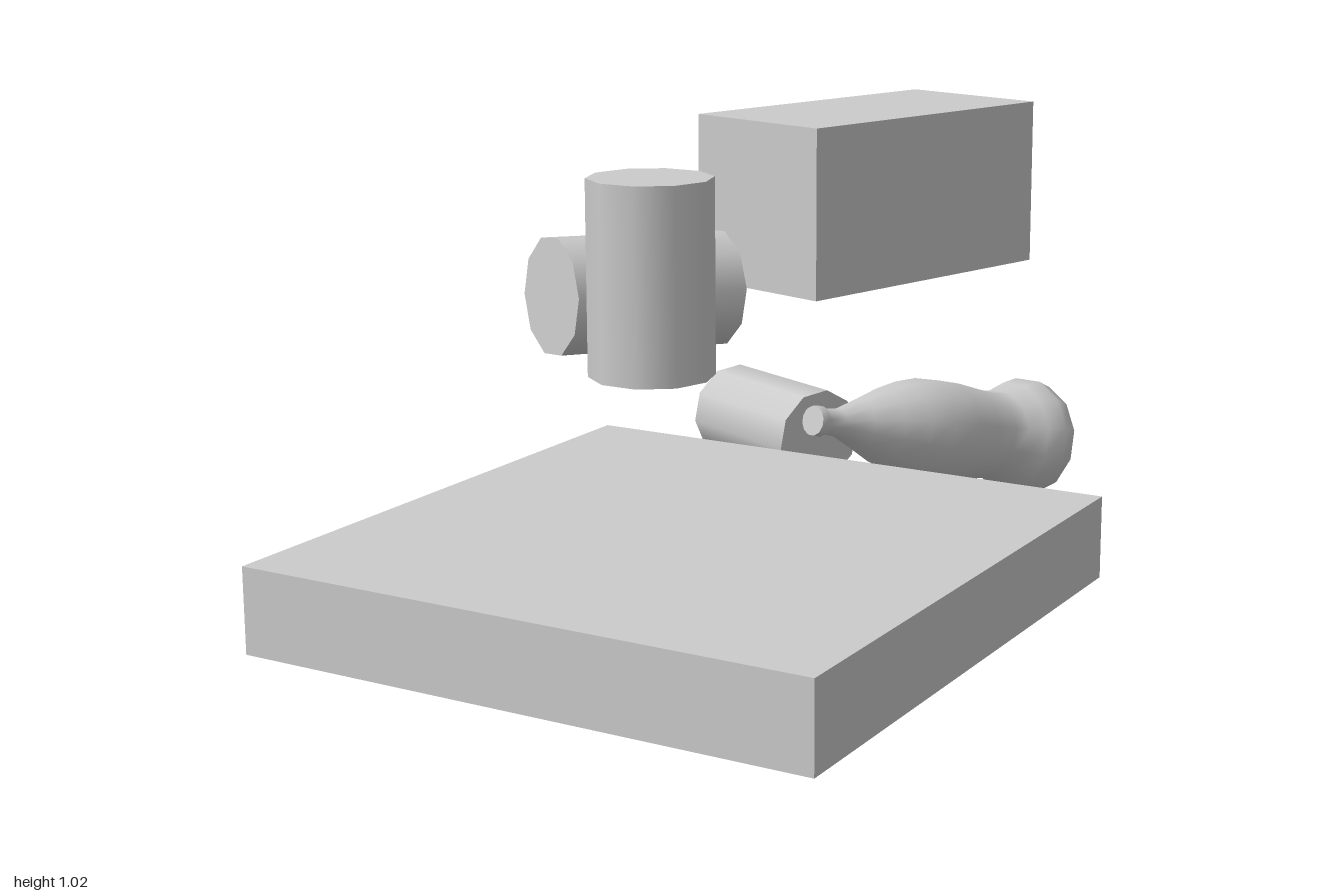
import * as THREE from 'three';

const material = new THREE.MeshStandardMaterial({ color: 0xcccccc });

function part(parent, name, geometry) {
  const mesh = new THREE.Mesh(geometry, material);
  mesh.name = name;
  parent.add(mesh);
  return mesh;
}

// Turns an object's local y axis to run from one point towards another
function aim(object, from, to) {
  object.quaternion.setFromUnitVectors(new THREE.Vector3(0, 1, 0), to.clone().sub(from).normalize());
}

// Ten-sided can between two end centres
function can(parent, name, a, b) {
  const from = new THREE.Vector3(...a), to = new THREE.Vector3(...b);
  const geometry = new THREE.CylinderGeometry(0.122, 0.122, from.distanceTo(to), 10, 1, false, Math.PI / 10);
  const mesh = part(parent, name, geometry);
  mesh.position.copy(from).lerp(to, 0.5);
  aim(mesh, from, to);
}

export function createModel() {
  const model = new THREE.Group();
  model.name = 'scatteredProps';

  // Low slab
  part(model, 'slab', new THREE.BoxGeometry(1.33, 0.19, 1.355)).position.set(0, 0.095, 0.322);

  // Raised block, turned about the vertical
  const block = part(model, 'block', new THREE.BoxGeometry(0.385, 0.39, 0.753));
  block.position.set(-0.022, 0.815, -0.53);
  block.rotation.y = -0.276;

  // Three cans: upright, tilted, lying
  can(model, 'uprightCan', [0.194, 0.645, 0.785], [0.194, 1.025, 0.785]);
  can(model, 'tiltedCan', [-0.105, 0.752, 0.685], [0.08, 0.734, 0.353]);
  can(model, 'lyingCan', [-0.568, 0.145, -0.812], [-0.222, 0.147, -0.657]);

  // Bottle with pinched waist: [distance from mouth, radius], base to mouth
  const bottle = new THREE.Group();
  bottle.name = 'bottle';
  const profile = [
    [0.835, 0], [0.82, 0.1], [0.785, 0.14], [0.74, 0.151], [0.69, 0.136], [0.645, 0.113],
    [0.6, 0.109], [0.53, 0.115], [0.45, 0.125], [0.36, 0.125], [0.29, 0.112], [0.22, 0.09],
    [0.15, 0.061], [0.08, 0.034], [0.035, 0.031], [0.02, 0.037], [0, 0.035],
  ].map(([t, r]) => new THREE.Vector2(r, -t));
  part(bottle, 'bottleBody', new THREE.LatheGeometry(profile, 12));
  part(bottle, 'bottleMouth', new THREE.CircleGeometry(0.035, 12)).rotation.x = -Math.PI / 2;
  const mouth = new THREE.Vector3(0.005, 0.317, -0.205);
  bottle.position.copy(mouth);
  aim(bottle, new THREE.Vector3(0.23, 0.152, -0.895), mouth);
  model.add(bottle);

  return model;
}
